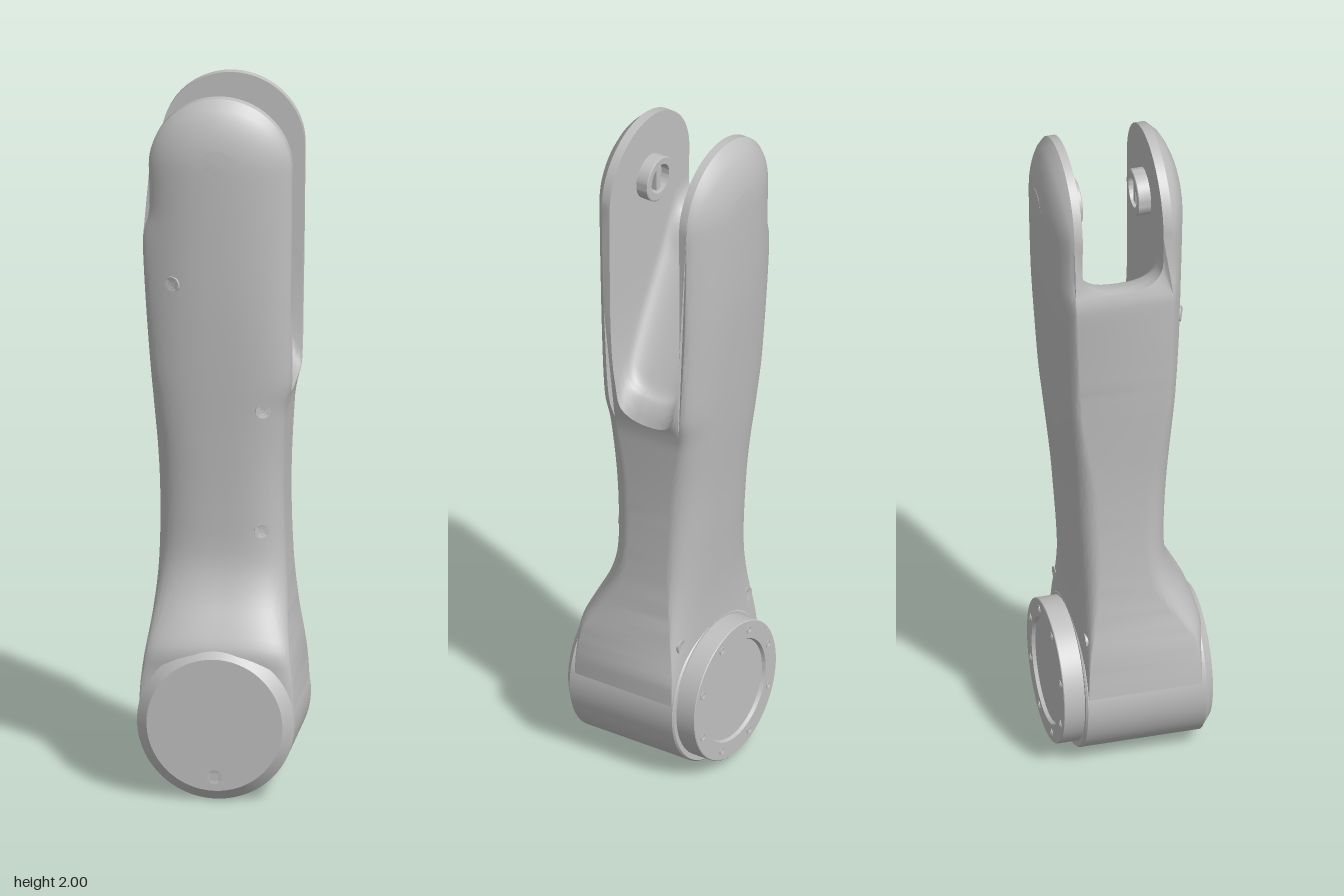
import * as THREE from 'three';
import { toCreasedNormals } from 'three/addons/utils/BufferGeometryUtils.js';

// smooth interpolation through [position, value] knots
function knots(k) {
  const slope = (i) => {
    const a = k[Math.max(i - 1, 0)], b = k[Math.min(i + 1, k.length - 1)];
    return (b[1] - a[1]) / (b[0] - a[0]);
  };
  return (y) => {
    if (y <= k[0][0]) return k[0][1];
    for (let i = 0; i < k.length - 1; i++) {
      const [y0, v0] = k[i], [y1, v1] = k[i + 1];
      if (y > y1) continue;
      const d = y1 - y0, t = (y - y0) / d, t2 = t * t, t3 = t2 * t;
      return v0 * (2 * t3 - 3 * t2 + 1) + v1 * (3 * t2 - 2 * t3)
        + slope(i) * d * (t3 - 2 * t2 + t) + slope(i + 1) * d * (t3 - t2);
    }
    return k[k.length - 1][1];
  };
}

// body outline by height
const widthLeft = knots([[0.22, 0.218], [0.32, 0.213], [0.4, 0.204], [0.5, 0.19], [0.65, 0.177], [0.85, 0.171],
  [1.08, 0.177], [1.12, 0.183], [1.17, 0.194], [1.4, 0.197], [1.8, 0.2], [2, 0.2]]);
const widthRight = knots([[0.22, 0.218], [0.32, 0.213], [0.4, 0.204], [0.5, 0.19], [0.65, 0.179], [0.85, 0.177],
  [1.1, 0.187], [1.35, 0.196], [1.6, 0.198], [1.8, 0.2], [2, 0.2]]);
// lip under the shallow side of the slot
const lip = knots([[1, 0], [1.1, 0.002], [1.35, 0.01], [1.57, 0.019], [1.61, 0.016], [1.66, 0.001], [1.72, -0.002],
  [1.8, 0], [2, 0]]);
const frontZ = knots([[0.2, 0.203], [0.36, 0.21], [0.42, 0.217], [0.48, 0.192], [0.57, 0.147], [0.66, 0.122], [0.8, 0.122],
  [1, 0.134], [1.2, 0.149], [1.4, 0.162], [1.6, 0.17], [1.8, 0.175], [2, 0.175]]);
const backZ = knots([[0.2, -0.138], [0.5, -0.141], [0.65, -0.15], [0.75, -0.158], [0.9, -0.17], [1.1, -0.19],
  [1.3, -0.207], [1.5, -0.222], [1.65, -0.228], [1.8, -0.231], [2, -0.231]]);
// flat share of the side and softness of its rounding
const edgeShare = knots([[0.22, 0.95], [0.36, 0.88], [0.46, 0.72], [0.62, 0.5], [0.9, 0.47], [1.1, 0.62], [1.22, 0.69], [2, 0.69]]);
const softness = knots([[0.22, 0.5], [1.05, 0.5], [1.5, 0.7], [1.75, 0.75], [2, 0.75]]);
// slot between the fork arms: a ramp falling from the right side to the left
const slotFloor = knots([[-1, 1.625], [-0.85, 1.622], [-0.65, 1.605], [-0.5, 1.56], [-0.4, 1.515], [0.5, 1.24], [0.62, 1.205],
  [0.72, 1.192], [0.77, 1.188], [1, 1.125]]);
const slotHalf = knots([[1.1, 0.088], [1.2, 0.095], [1.3, 0.108], [1.45, 0.115], [2, 0.115]]);
const MID = -0.03, HEAD_Y = 1.8, HEAD_R = 0.2, BASE_Y = 0.22, ROWS = 72;

const bodyX = (s, y) => s > 0 ? s * widthLeft(y) : s * widthRight(y) - lip(y) * Math.pow(-s, 8);
function bodyZ(s, y, side) {
  const r = Math.min(1, Math.hypot(s, Math.max(0, y - HEAD_Y) / HEAD_R));
  const power = 2 + (1 - softness(y)) * 1.6;
  const dome = Math.pow(Math.max(0, 1 - Math.pow(r, power)), softness(y));
  const e = edgeShare(y);
  return MID + ((side > 0 ? frontZ(y) : backZ(y)) - MID) * (e + (1 - e) * dome);
}

// closed tuning-fork outline [z, y] at the sideways position s
function forkOutline(s) {
  const top = HEAD_Y + HEAD_R * Math.sqrt(Math.max(0, 1 - s * s));
  const floor = slotFloor(s), h = 0.08, inner = 18, arc = 20;
  const pts = [];
  const outer = (i) => BASE_Y + (top - BASE_Y) * i / ROWS;
  for (let i = 0; i <= ROWS; i++) pts.push([bodyZ(s, outer(i), 1), outer(i)]);
  for (let i = 0; i < inner; i++) {
    const y = top + (floor + h - top) * i / inner;
    pts.push([MID + slotHalf(y), y]);
  }
  for (let i = 0; i <= arc; i++) {
    const a = Math.PI * i / arc, c = Math.cos(a);
    const y = floor + h * (1 - Math.pow(Math.sin(a), 0.8));
    pts.push([MID + slotHalf(y) * Math.sign(c) * Math.pow(Math.abs(c), 0.8), y]);
  }
  for (let i = inner - 1; i >= 0; i--) {
    const y = top + (floor + h - top) * i / inner;
    pts.push([MID - slotHalf(y), y]);
  }
  for (let i = ROWS; i >= 0; i--) pts.push([bodyZ(s, outer(i), -1), outer(i)]);
  return pts;
}

function bodyGeometry() {
  const cols = 48, pos = [], index = [];
  let n = 0;
  for (let j = 0; j <= cols; j++) {
    const s = Math.sin((j / cols - 0.5) * Math.PI), loop = forkOutline(s);
    n = loop.length;
    for (const [z, y] of loop) pos.push(bodyX(s, y), y, z);
  }
  for (let j = 0; j < cols; j++) for (let i = 0; i < n; i++) {
    const a = j * n + i, d = j * n + (i + 1) % n, b = a + n, c = d + n;
    index.push(a, b, c, a, c, d);
  }
  // side faces: level rows up to the slot, then the rim around it
  for (const [s, start] of [[-1, 0], [1, cols * n]]) {
    const p = forkOutline(s).map(([z, y]) => new THREE.Vector2(z, y));
    const tri = (a, b, c) => {
      const cross = (p[b].x - p[a].x) * (p[c].y - p[a].y) - (p[b].y - p[a].y) * (p[c].x - p[a].x);
      if (cross * s < 0) index.push(start + a, start + b, start + c);
      else index.push(start + a, start + c, start + b);
    };
    const k = Math.floor((slotFloor(s) - 0.005 - BASE_Y) / (HEAD_Y - BASE_Y) * ROWS);
    for (let i = 0; i < k; i++) {
      tri(i, n - 1 - i, n - 2 - i);
      tri(i, n - 2 - i, i + 1);
    }
    for (const t of THREE.ShapeUtils.triangulateShape(p.slice(k, n - k), [])) tri(t[0] + k, t[1] + k, t[2] + k);
  }
  const g = new THREE.BufferGeometry();
  g.setAttribute('position', new THREE.Float32BufferAttribute(pos, 3));
  g.setIndex(index);
  return toCreasedNormals(g, 0.5);
}

export function createModel() {
  const model = new THREE.Group();
  const grey = new THREE.MeshStandardMaterial({ color: 0xc0c0c0 });
  grey.name = 'light grey';

  const add = (name, geometry) => {
    const m = new THREE.Mesh(geometry, grey);
    m.name = name;
    model.add(m);
    return m;
  };
  // turned part whose axis points to the front (dir 1) or back (dir -1)
  const turned = (name, profile, x, y, z, dir, segments = 64) => {
    const g = new THREE.LatheGeometry(profile.map(([r, h]) => new THREE.Vector2(r, h)), segments);
    const m = add(name, toCreasedNormals(g, 0.5));
    m.rotation.x = dir * Math.PI / 2;
    m.position.set(x, y, z);
    return m;
  };

  add('forkedArm', bodyGeometry());

  // lower joint drum with chamfered front cover
  turned('jointDrum', [[0, -0.14], [0.216, -0.14], [0.22, -0.135], [0.22, 0.205], [0.19, 0.23], [0, 0.23]], 0, 0.22, 0, 1, 96);

  // rear mounting flange with recessed centre and bolt circle
  turned('mountingFlange', [[0.205, 0], [0.205, 0.058], [0.203, 0.06], [0.152, 0.06], [0.148, 0.05], [0, 0.05]],
    0, 0.225, -0.14, -1, 96);

  // small screw: rim around a sunken head
  const screw = (name, x, y, z, dir, r) => turned(name,
    [[r, -0.012], [r, 0.002], [r * 0.75, 0.002], [r * 0.65, 0.001], [r * 0.4, 0.001], [r * 0.35, 0.0003], [0, 0.0003]],
    x, y, z, dir, 20);
  for (let i = 0; i < 8; i++) {
    const a = (i + 0.5) * Math.PI / 4;
    screw('flangeBolt', 0.177 * Math.cos(a), 0.225 + 0.177 * Math.sin(a), -0.2, -1, 0.011);
  }
  for (const [x, y] of [[-0.13, 1.47], [0.122, 1.105], [0.115, 0.75]]) {
    const s = x / Math.abs(bodyX(Math.sign(x), y));
    const m = screw('armScrew', x, y, bodyZ(s, y, 1), 1, 0.022);
    m.rotation.z = -Math.sign(x) * 0.38;
  }
  screw('coverScrew', 0, 0.07, 0.229, 1, 0.021);
  for (const x of [-0.165, 0.165]) screw('rearScrew', x, 0.43, bodyZ(x / 0.2, 0.43, -1), -1, 0.02);

  // pivot caps outside and hollow bosses inside the fork
  for (const dir of [1, -1]) {
    const outer = dir > 0 ? 0.175 : -0.231, face = MID + dir * 0.117;
    turned('pivotCap', [[0.055, -0.02], [0.055, -0.0025], [0.03, -0.0005], [0, 0.0005]], 0, 1.812, outer, dir);
    turned('pivotBoss', [[0.066, 0], [0.066, 0.036], [0.063, 0.038], [0.044, 0.038], [0.044, 0.012], [0, 0.012]],
      0, 1.812, face, -dir, 48);
    const key = add('driveKey', new THREE.BoxGeometry(0.02, 0.07, 0.02));
    key.position.set(0, 1.812, face - dir * 0.022);
  }

  return model;
}
